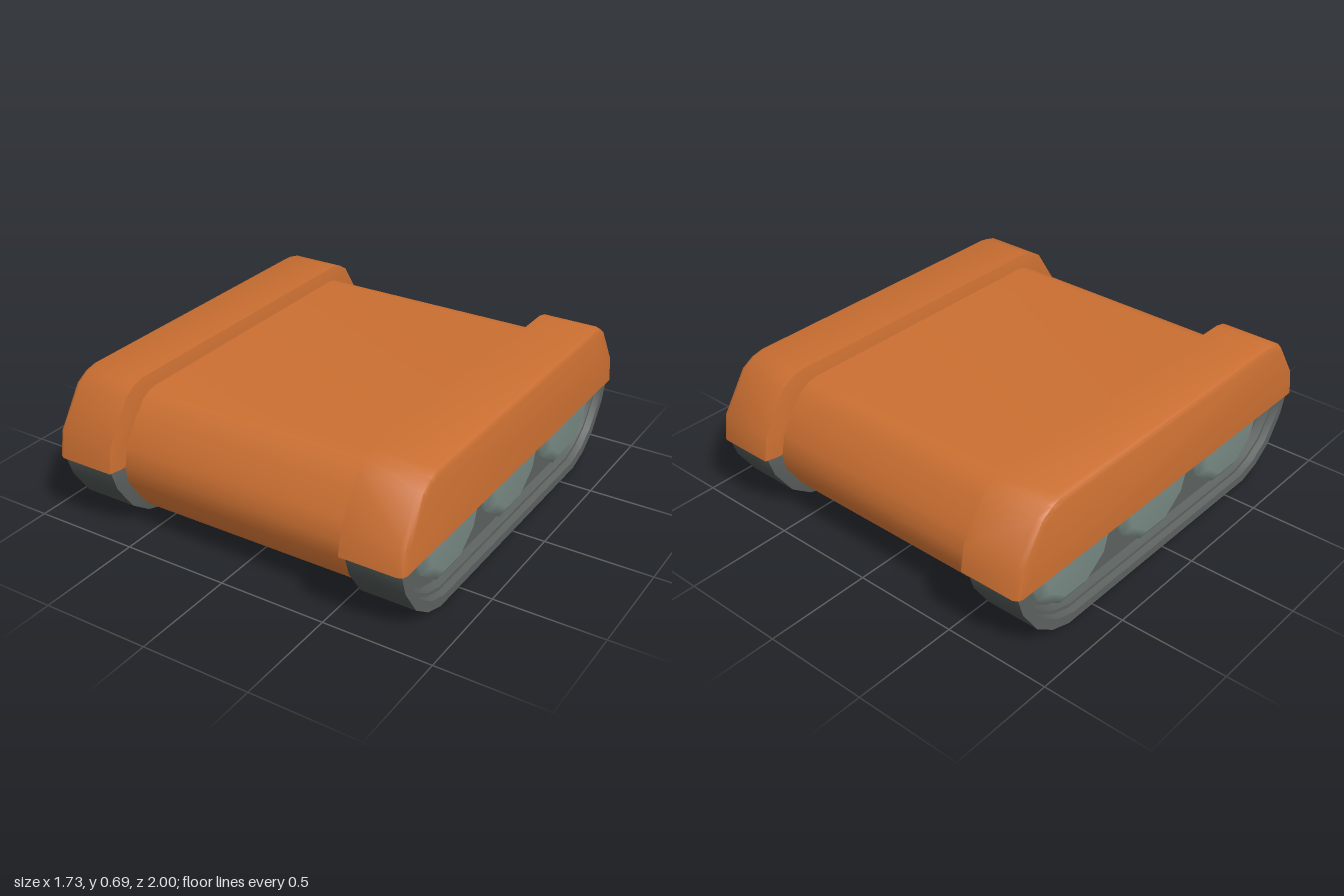
import * as THREE from 'three';
import { toCreasedNormals } from 'three/addons/utils/BufferGeometryUtils.js';

const MID = 0.34; // height of the widest line, where fender meets track

// Quarter outlines as [z, height above MID], from the widest point to the top
const FENDER = [[1.0, 0], [0.98, 0.12], [0.858, 0.305], [0.80, 0.34], [0.745, 0.353]];
const TRACK = [[0.98, 0], [0.945, 0.107], [0.858, 0.235], [0.76, 0.305], [0.654, 0.34]];
const BODY = [[0.915, 0], [0.895, 0.09], [0.82, 0.205], [0.77, 0.265], [0.725, 0.288], [0.68, 0.295]];

// Outline shrunk by d, counter-clockwise as seen from +x
function outline(quarter, d, upperOnly) {
  const a = quarter[0][0], b = quarter[quarter.length - 1][1];
  const q = quarter.map(([z, y]) => [z * (a - d) / a, y * (b - d) / b]);
  const r = [...q].reverse();
  const upper = [...q.map(([z, y]) => [-z, y]), ...r];
  if (upperOnly) return upper;
  return [...upper,
    ...q.slice(1).map(([z, y]) => [z, -y]),
    ...r.slice(0, -1).map(([z, y]) => [-z, -y])];
}

// Skin over outlines placed along x; rings are [x, inset], side is 1 or -1
function loft(quarter, rings, { side = 1, upperOnly = false, startCap = false, endCap = false } = {}) {
  const sections = rings.map(([x, d]) =>
    outline(quarter, d, upperOnly).map(([z, y]) => [x * side, MID + y, z]));
  const pos = [];
  const tri = (a, b, c) => pos.push(...a, ...(side > 0 ? b : c), ...(side > 0 ? c : b));
  const n = sections[0].length;
  for (let i = 0; i < sections.length - 1; i++) {
    const s = sections[i], t = sections[i + 1];
    for (let j = 0; j < n; j++) {
      const k = (j + 1) % n;
      tri(s[j], s[k], t[k]);
      tri(s[j], t[k], t[j]);
    }
  }
  const first = sections[0], last = sections[sections.length - 1];
  for (let j = 1; j < n - 1; j++) {
    if (startCap) tri(first[0], first[j + 1], first[j]);
    if (endCap) tri(last[0], last[j], last[j + 1]);
  }
  const g = new THREE.BufferGeometry();
  g.setAttribute('position', new THREE.Float32BufferAttribute(pos, 3));
  return toCreasedNormals(g, 0.7);
}

export function createModel() {
  const material = (name, color) => {
    const m = new THREE.MeshStandardMaterial({ color });
    m.name = name;
    return m;
  };
  const orange = material('orange paint', 0xc96e31);
  const treadGrey = material('dark tread', 0x454d4b);
  const rimGrey = material('rim grey', 0x5c6260);
  const wheelGrey = material('wheel grey', 0x7a8b86);

  const model = new THREE.Group();
  model.name = 'trackedBase';
  const add = (parent, name, geometry, mat) => {
    const mesh = new THREE.Mesh(geometry, mat);
    mesh.name = name;
    parent.add(mesh);
    return mesh;
  };

  // Central hull
  add(model, 'hull', loft(BODY, [[-0.6, 0], [0.6, 0]], { startCap: true, endCap: true }), orange);

  for (const side of [1, -1]) {
    const unit = new THREE.Group();
    unit.name = side > 0 ? 'leftTrackUnit' : 'rightTrackUnit';
    model.add(unit);

    // Fender with bevelled edges
    add(unit, 'fender', loft(FENDER,
      [[0.56, 0.06], [0.575, 0], [0.835, 0], [0.856, 0.01], [0.865, 0.03]],
      { side, upperOnly: true, startCap: true, endCap: true }), orange);

    // Tread band, inner cheek and stepped outer recess
    add(unit, 'tread', loft(TRACK, [[0.59, 0], [0.845, 0]], { side }), treadGrey);
    add(unit, 'innerCheek', loft(TRACK, [[0.562, 0.07], [0.59, 0]], { side, startCap: true }), rimGrey);
    add(unit, 'outerRim', loft(TRACK,
      [[0.845, 0], [0.845, 0.04], [0.815, 0.045], [0.815, 0.06], [0.775, 0.065]],
      { side, endCap: true }), rimGrey);

    // Three ten-sided road wheels
    for (const z of [0.53, -0.03, -0.585]) {
      const profile = [[0.265, 0], [0.265, 0.03], [0.215, 0.058], [0, 0.064]]
        .map(([r, h]) => new THREE.Vector2(r, h));
      const wheel = add(unit, 'roadWheel', new THREE.LatheGeometry(profile, 10), wheelGrey);
      wheel.rotation.z = -side * Math.PI / 2;
      wheel.position.set(side * 0.77, MID, z);
    }
  }
  return model;
}
